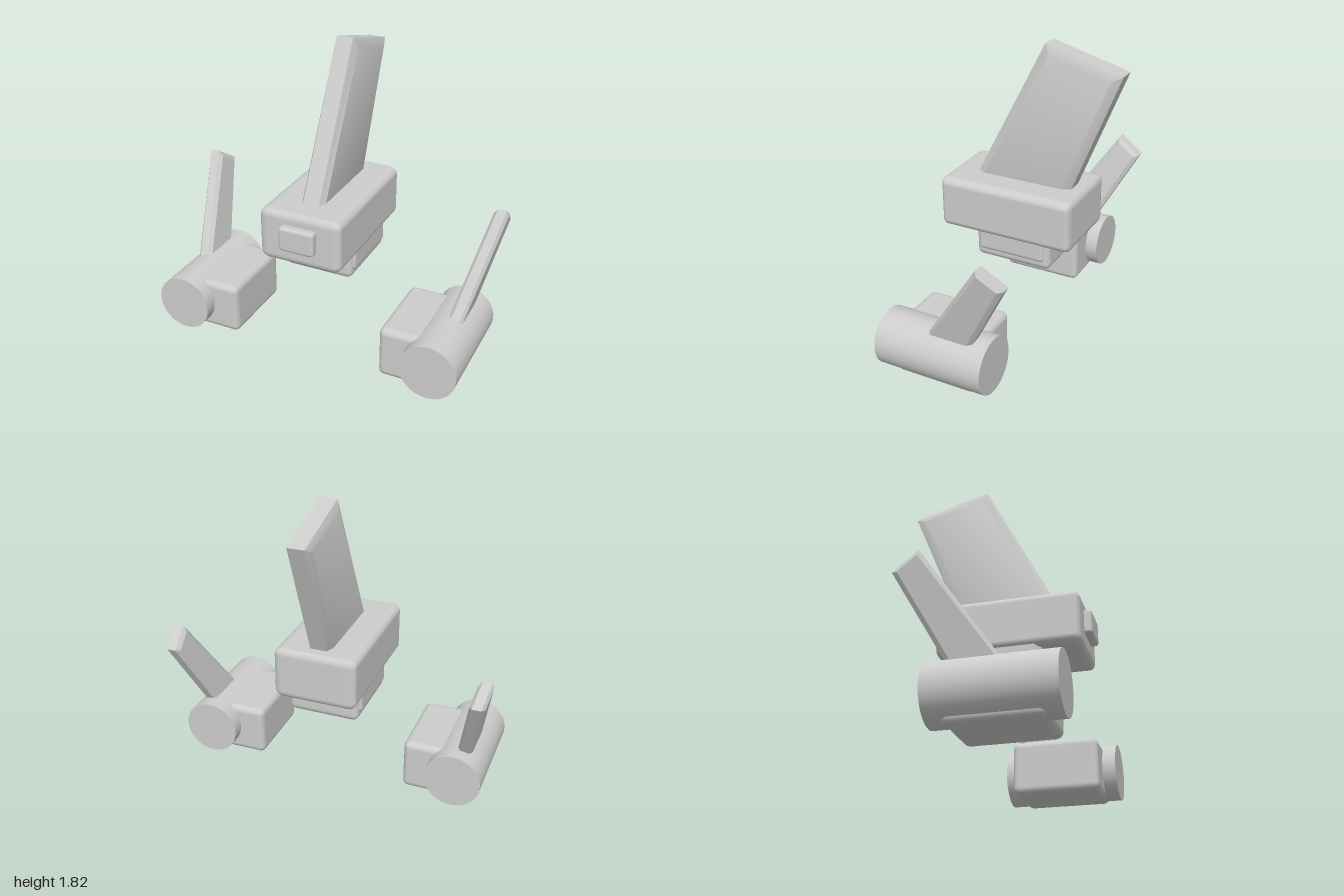
import * as THREE from 'three';
import { toCreasedNormals } from 'three/addons/utils/BufferGeometryUtils.js';
import { RoundedBoxGeometry } from 'three/addons/geometries/RoundedBoxGeometry.js';

export function createModel() {
  const model = new THREE.Group();
  model.name = 'model';
  const grey = new THREE.MeshStandardMaterial({ color: 0xcccccc });
  grey.name = 'light grey';

  function add(name, geometry, parent = model) {
    const mesh = new THREE.Mesh(geometry, grey);
    mesh.name = name;
    parent.add(mesh);
    return mesh;
  }

  // Box between two corners, with its own rounding radius along each axis
  function softBox(min, max, [rx, ry, rz]) {
    const size = max.map((v, i) => v - min[i]);
    const g = new RoundedBoxGeometry(size[0] / rx, size[1] / ry, size[2] / rz, 3, 1);
    g.scale(rx, ry, rz);
    g.translate(...min.map((v, i) => v + size[i] / 2));
    return g;
  }

  // Swept blade from a [z, y] outline, thinner towards its edges
  function blade(outline, edgeHalf, half, bevel) {
    const shape = new THREE.Shape(outline.map(([z, y]) => new THREE.Vector2(z, y)));
    const g = new THREE.ExtrudeGeometry(shape, {
      depth: 2 * edgeHalf, bevelEnabled: true, bevelSegments: 1,
      bevelThickness: half - edgeHalf, bevelSize: bevel, bevelOffset: -bevel,
    });
    g.translate(0, 0, -edgeHalf);
    g.rotateY(-Math.PI / 2);
    return g;
  }

  // Central body
  add('body', softBox([-0.253, 0.64, -0.34], [0.253, 0.96, 0.51], [0.055, 0.045, 0.035]));
  add('noseButton', softBox([-0.11, 0.74, 0.45], [0.11, 0.89, 0.555], [0.025, 0.02, 0.02]));
  add('lowerBlock', softBox([-0.22, 0.48, -0.2], [0.22, 0.72, 0.285], [0.04, 0.04, 0.035]));
  add('lowerSidePlates', softBox([-0.236, 0.535, -0.17], [0.236, 0.72, 0.26], [0.02, 0.025, 0.025]));

  // Tall central fin
  const tall = blade([[0.433, 0.8], [-0.09, 1.815], [-0.555, 1.69], [-0.196, 0.8]], 0.05, 0.072, 0.05);
  add('centralFin', toCreasedNormals(tall, 0.5));

  // Side pods: drum, inner block and fin leaning outward
  for (const side of [1, -1]) {
    const pod = new THREE.Group();
    pod.name = side > 0 ? 'leftPod' : 'rightPod';
    model.add(pod);

    const drum = new THREE.CylinderGeometry(0.171, 0.171, 0.685, 48);
    drum.rotateX(Math.PI / 2);
    drum.translate(side * 0.8, 0.176, 0.1925);
    add('drum', drum, pod);

    const [a, b] = side > 0 ? [0.47, 0.89] : [-0.89, -0.47];
    add('innerBlock', softBox([a, 0, -0.07], [b, 0.32, 0.455], [0.035, 0.04, 0.04]), pod);

    const fin = blade([[0.312, 0.2], [-0.165, 0.9], [-0.315, 0.8], [0.015, 0.2]], 0.027, 0.045, 0.025);
    const p = fin.attributes.position;
    for (let i = 0; i < p.count; i++) {
      p.setX(i, p.getX(i) + side * (0.772 + 0.216 * p.getY(i)));
    }
    add('sideFin', toCreasedNormals(fin, 0.5), pod);
  }
  return model;
}
